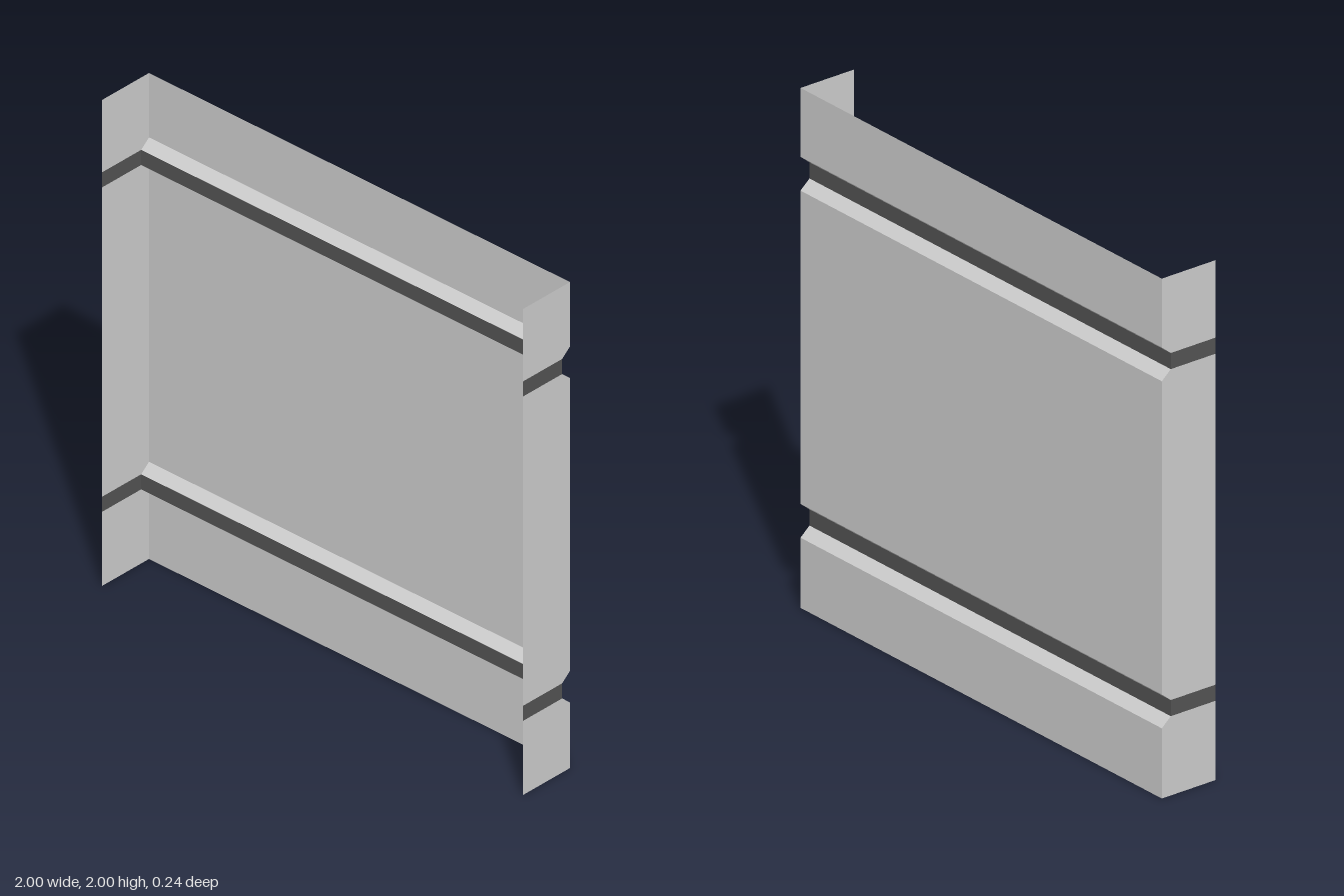
import * as THREE from 'three';

// Flat four-cornered sheet, corners counter-clockwise seen from its front
function sheet(name, corners, material) {
  const geometry = new THREE.BufferGeometry();
  geometry.setAttribute('position', new THREE.Float32BufferAttribute(corners.flat(), 3));
  geometry.setIndex([0, 1, 2, 0, 2, 3]);
  geometry.computeVertexNormals();
  const mesh = new THREE.Mesh(geometry, material);
  mesh.name = name;
  return mesh;
}

export function createModel() {
  const lightGrey = new THREE.MeshStandardMaterial({ color: 0xcccccc, side: THREE.DoubleSide });
  lightGrey.name = 'lightGrey';
  const darkGrey = new THREE.MeshStandardMaterial({ color: 0x535353, side: THREE.DoubleSide });
  darkGrey.name = 'darkGrey';

  const model = new THREE.Group();
  model.name = 'wallPanel';
  const back = -0.12, groove = -0.08, front = 0.12;

  // Height and depth of each fold, from the floor up
  const profile = [[0, back]];
  for (const y of [0.27, 1.605]) {
    profile.push([y, back], [y + 0.035, groove], [y + 0.097, groove], [y + 0.13, back]);
  }
  profile.push([2, back]);

  // Each strip has a back sheet and a flange folded forward at either end
  for (let i = 0; i < profile.length - 1; i++) {
    const [y0, z0] = profile[i], [y1, z1] = profile[i + 1];
    const isGroove = z0 === groove && z1 === groove;
    const material = isGroove ? darkGrey : lightGrey;
    const strip = new THREE.Group();
    strip.name = isGroove ? 'grooveStrip' : z0 === z1 ? 'flatStrip' : 'slopedStrip';
    strip.add(sheet('backSheet', [[-1, y0, z0], [1, y0, z0], [1, y1, z1], [-1, y1, z1]], material));
    strip.add(sheet('leftFlange', [[1, y0, front], [1, y0, z0], [1, y1, z1], [1, y1, front]], material));
    strip.add(sheet('rightFlange', [[-1, y0, z0], [-1, y0, front], [-1, y1, front], [-1, y1, z1]], material));
    model.add(strip);
  }
  return model;
}
